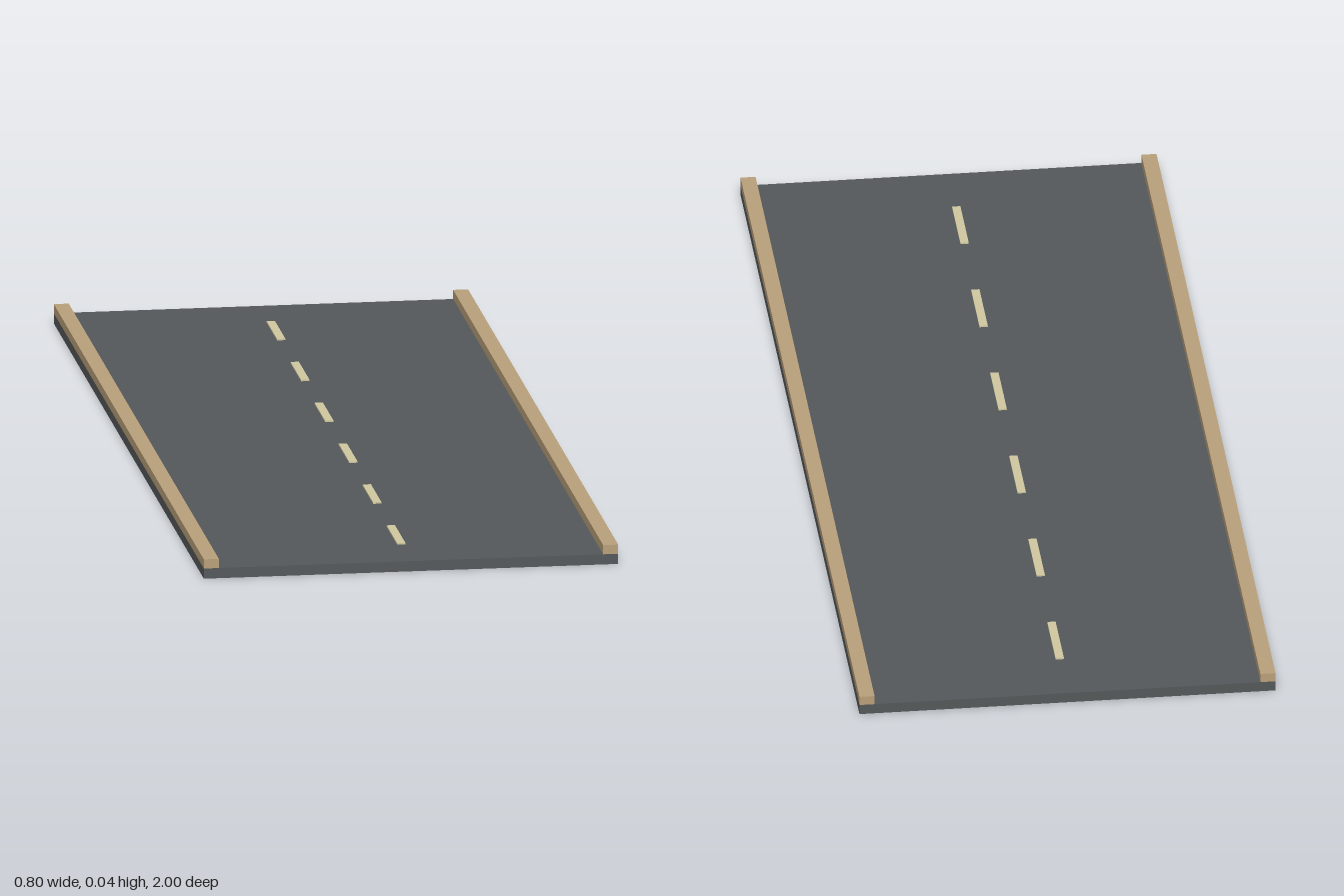
import * as THREE from 'three';

const ROAD_TOP = 0.02;

export function createModel() {
  const group = new THREE.Group();
  group.name = 'roadSegment';

  const asphalt = new THREE.MeshStandardMaterial({ color: 0x54585a });
  const stone = new THREE.MeshStandardMaterial({ color: 0xb9a07a });
  const paint = new THREE.MeshStandardMaterial({ color: 0xd0c8a0 });

  // Box whose underside rests at the given height
  const addBox = (name, material, [w, h, d], x, bottom, z) => {
    const mesh = new THREE.Mesh(new THREE.BoxGeometry(w, h, d), material);
    mesh.name = name;
    mesh.position.set(x, bottom + h / 2, z);
    group.add(mesh);
  };

  // Road slab
  addBox('roadSlab', asphalt, [0.8, ROAD_TOP, 2], 0, 0, 0);

  // Kerbs along both edges
  for (const side of [-1, 1]) {
    addBox(side > 0 ? 'leftKerb' : 'rightKerb', stone, [0.029, 0.018, 2], side * 0.3855, ROAD_TOP, 0);
  }

  // Dashed centre line
  for (let i = 0; i < 6; i++) {
    addBox(`centreDash${i + 1}`, paint, [0.016, 0.003, 0.14], 0, ROAD_TOP, (i - 2.5) * 0.32);
  }

  return group;
}
